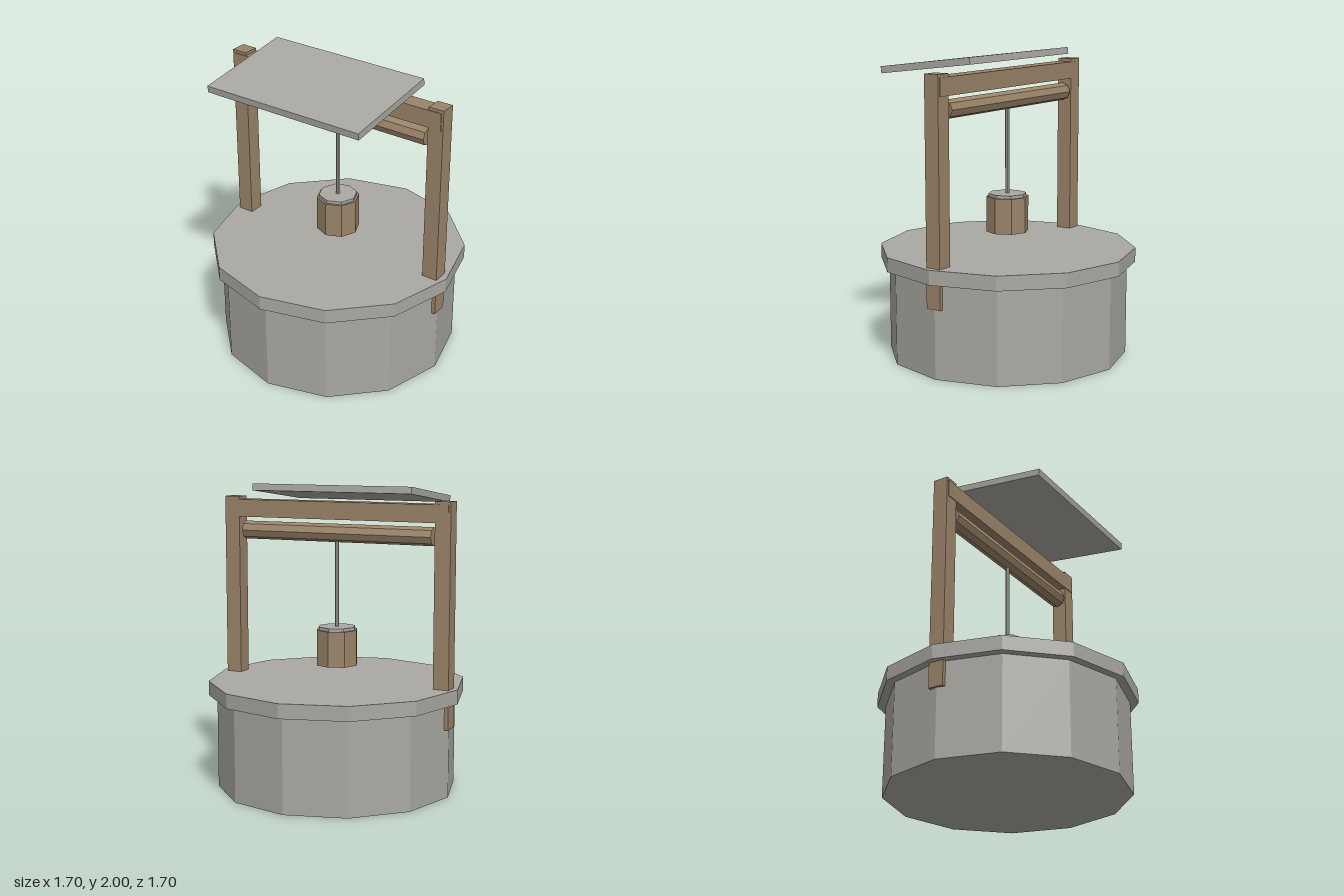
import * as THREE from 'three';

export function createModel() {
  const model = new THREE.Group();
  model.name = 'well';
  const stone = new THREE.MeshStandardMaterial({ color: 0xa9a8a2, flatShading: true });
  stone.name = 'grey stone';
  const wood = new THREE.MeshStandardMaterial({ color: 0x9b8469, flatShading: true });
  wood.name = 'brown wood';

  const add = (name, geometry, material, x, y, z) => {
    const mesh = new THREE.Mesh(geometry, material);
    mesh.name = name;
    mesh.position.set(x, y, z);
    model.add(mesh);
    return mesh;
  };
  // Upright prism between two heights
  const prism = (name, radius, bottom, top, sides, material) =>
    add(name, new THREE.CylinderGeometry(radius, radius, top - bottom, sides), material, 0, (bottom + top) / 2, 0);

  // Twelve-sided wall and overhanging rim
  prism('wall', 0.793, 0, 0.62, 12, stone);
  prism('rim', 0.848, 0.62, 0.715, 12, stone);

  // Posts, sunk through the rim
  for (const [name, side] of [['leftPost', 1], ['rightPost', -1]]) {
    add(name, new THREE.BoxGeometry(0.106, 1.455, 0.104), wood, side * 0.752, 1.1825, 0);
  }

  // Crossbeam, slightly thicker than the posts
  add('crossbeam', new THREE.BoxGeometry(1.58, 0.115, 0.114), wood, 0, 1.8325, 0);

  // Eight-sided winding roller
  const roller = add('roller', new THREE.CylinderGeometry(0.06, 0.06, 1.35, 8), wood, 0, 1.685, 0);
  roller.rotation.z = Math.PI / 2;

  // Rope, bucket and bucket lid
  prism('rope', 0.014, 1.06, 1.65, 8, stone);
  prism('bucket', 0.141, 0.815, 1.05, 8, wood);
  prism('bucketLid', 0.126, 1.04, 1.07, 8, stone);

  // Roof slab, sloping down to the front
  const roof = add('roof', new THREE.BoxGeometry(1.127, 0.045, 0.707), stone, 0, 1.9342, 0.24);
  roof.rotation.x = 0.123;

  return model;
}
